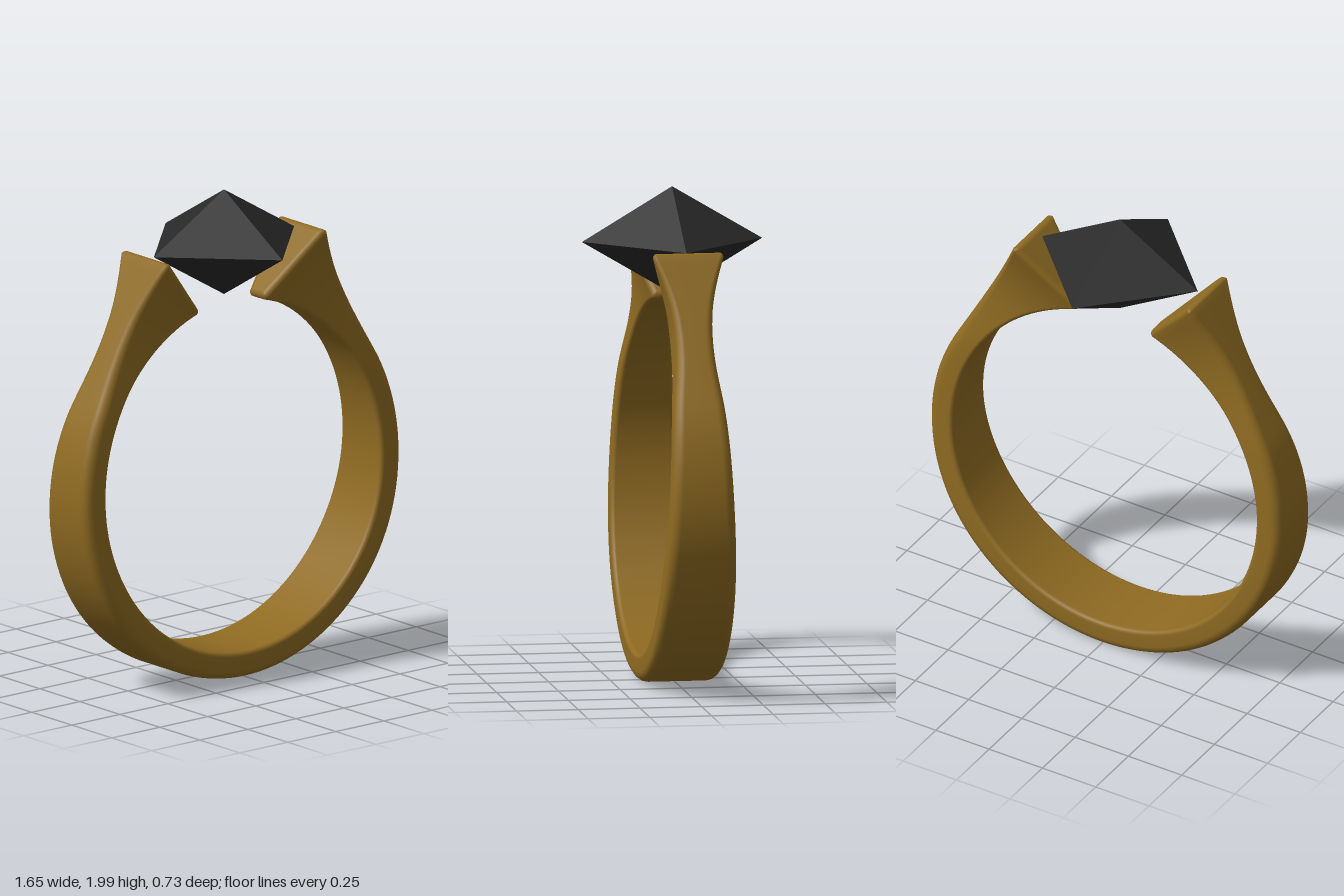
import * as THREE from 'three';

const CENTRE_Y = 0.83, INNER_R = 0.712, OUTER_R = 0.823;
const STRAIGHT = 117, END = 165.5;         // degrees from the bottom of the ring
const TIP = new THREE.Vector2(0.42, 1.783); // outer corner of each shoulder
const ARC = 5;                              // points per rounded corner

const polar = (r, deg) => {
  const a = THREE.MathUtils.degToRad(deg);
  return new THREE.Vector2(r * Math.sin(a), CENTRE_Y - r * Math.cos(a));
};

// inner half width, outer half width, outer rounding along the band
const profile = new THREE.CubicInterpolant(
  [0, 30, 60, 90, 117, 133, 142, 150, 158, END],
  [
    0.155, 0.155, 0.04, 0.154, 0.154, 0.04, 0.147, 0.147, 0.04,
    0.127, 0.127, 0.04, 0.105, 0.105, 0.04, 0.085, 0.08, 0.035,
    0.077, 0.076, 0.03, 0.07, 0.085, 0.025, 0.063, 0.11, 0.02,
    0.055, 0.143, 0.015,
  ], 3);

// One rounded, tapering cross-section; inset and push shape the softened ends
function section(deg, inset = 0, push = 0) {
  const [wi, wo, ro] = profile.evaluate(deg);
  const inner = polar(INNER_R, deg);
  const t = (deg - STRAIGHT) / (END - STRAIGHT);
  const outer = t <= 0 ? polar(OUTER_R, deg) : polar(OUTER_R, STRAIGHT).lerp(TIP, t);
  const u = outer.clone().sub(inner);
  const len = u.length();
  u.normalize();
  const rIn = Math.max(0.018 - inset, 0.003), rOut = Math.max(ro - inset, 0.003);
  const corners = [[1, 0, rIn], [1, 1, rOut], [-1, 1, rOut], [-1, 0, rIn]];
  const pts = [];
  corners.forEach(([side, top, r], c) => {
    const w = (top ? wo : wi) - inset;
    const cz = side * (w - r);
    const cu = top ? len - inset - r : inset + r;
    for (let k = 0; k < ARC; k++) {
      const a = (c - 1 + k / (ARC - 1)) * Math.PI / 2;
      const h = cu + r * Math.sin(a);
      pts.push(new THREE.Vector3(
        inner.x + u.x * h - u.y * push,
        inner.y + u.y * h + u.x * push,
        cz + r * Math.cos(a)));
    }
  });
  return pts;
}

function bandGeometry() {
  // Right half from the bottom up, then the softened end, then its mirror
  const half = [];
  const steps = 64, soft = 0.022;
  for (let i = 0; i <= steps; i++) half.push(section(END * i / steps));
  for (let k = 1; k <= 4; k++) {
    const a = k * Math.PI / 8;
    half.push(section(END, soft * (1 - Math.cos(a)), soft * Math.sin(a)));
  }
  const mirrored = half.slice(1).reverse()
    .map(ring => ring.map(p => new THREE.Vector3(-p.x, p.y, p.z)));
  const rings = [...mirrored, ...half];

  const n = rings[0].length;
  const pos = rings.flat().flatMap(p => [p.x, p.y, p.z]);
  const index = [];
  for (let i = 0; i < rings.length - 1; i++) {
    for (let j = 0; j < n; j++) {
      const a = i * n + j, b = i * n + (j + 1) % n;
      index.push(a, b, b + n, a, b + n, a + n);
    }
  }
  // Flat seats facing the stone
  const cap = (ring, flip) => {
    const start = pos.length / 3;
    const mid = new THREE.Vector3();
    ring.forEach(p => { mid.addScaledVector(p, 1 / n); pos.push(p.x, p.y, p.z); });
    pos.push(mid.x, mid.y, mid.z);
    for (let j = 0; j < n; j++) {
      const a = start + j, b = start + (j + 1) % n;
      index.push(start + n, flip ? b : a, flip ? a : b);
    }
  };
  cap(rings[0], true);
  cap(rings[rings.length - 1], false);

  const geo = new THREE.BufferGeometry();
  geo.setAttribute('position', new THREE.Float32BufferAttribute(pos, 3));
  geo.setIndex(index);
  geo.computeVertexNormals();
  return geo;
}

export function createModel() {
  const group = new THREE.Group();
  group.name = 'ring';

  const band = new THREE.Mesh(bandGeometry(),
    new THREE.MeshStandardMaterial({ color: 0x8f6b22 }));
  band.name = 'band';
  group.add(band);

  // Eight-sided faceted stone held between the shoulders
  const stoneGeo = new THREE.OctahedronGeometry(1).scale(0.365, 0.217, 0.365);
  const stone = new THREE.Mesh(stoneGeo,
    new THREE.MeshStandardMaterial({ color: 0x292929, flatShading: true }));
  stone.name = 'stone';
  stone.position.y = 1.783;
  group.add(stone);

  return group;
}
